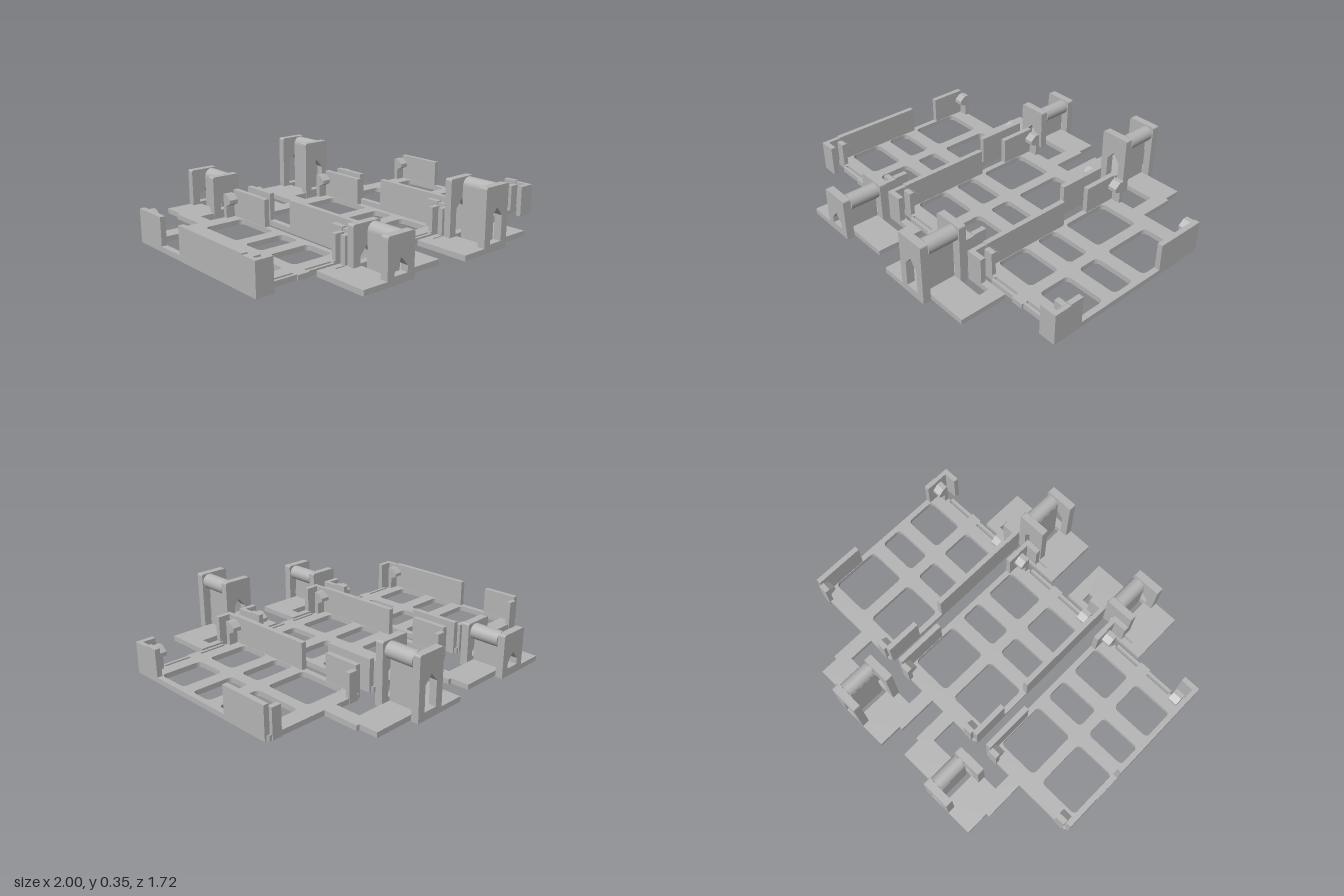
import * as THREE from 'three';

const PITCH = 0.69, HALF = 0.31, BASE = 0.03;
const grey = new THREE.MeshStandardMaterial({ color: 0xb4b4b4 });
grey.name = 'plain grey';

function add(parent, name, geometry) {
  const mesh = new THREE.Mesh(geometry, grey);
  mesh.name = name;
  parent.add(mesh);
  return mesh;
}

// Box given by its limits
function box(parent, name, x0, x1, y0, y1, z0, z1) {
  const g = new THREE.BoxGeometry(x1 - x0, y1 - y0, z1 - z0);
  g.translate((x0 + x1) / 2, (y0 + y1) / 2, (z0 + z1) / 2);
  return add(parent, name, g);
}

// Rounded rectangle in the ground plane; shape y is -z
function roundedRect(target, x0, x1, z0, z1, r) {
  const b = -z1, t = -z0;
  target.moveTo(x0 + r, b);
  target.lineTo(x1 - r, b);
  target.quadraticCurveTo(x1, b, x1, b + r);
  target.lineTo(x1, t - r);
  target.quadraticCurveTo(x1, t, x1 - r, t);
  target.lineTo(x0 + r, t);
  target.quadraticCurveTo(x0, t, x0, t - r);
  target.lineTo(x0, b + r);
  target.quadraticCurveTo(x0, b, x0 + r, b);
  return target;
}

// Flat plate of base thickness from a ground-plane shape
function plate(parent, name, shape) {
  const g = new THREE.ExtrudeGeometry(shape, { depth: BASE, bevelEnabled: false, curveSegments: 6 });
  g.rotateX(-Math.PI / 2);
  return add(parent, name, g);
}
const outline = pts => new THREE.Shape(pts.map(([x, z]) => new THREE.Vector2(x, -z)));

// Snap clip: upright with a wedge-shaped head pointing along dir in z
function clip(parent, x, z, dir) {
  const pts = [[0, 0], [0.026, 0], [0.026, 0.1], [0.065, 0.118], [0.065, 0.14], [0.03, 0.168], [0, 0.168]];
  const s = new THREE.Shape(pts.map(([u, y]) => new THREE.Vector2(u, y)));
  const g = new THREE.ExtrudeGeometry(s, { depth: 0.055, bevelEnabled: false });
  g.translate(0, 0, -0.0275);
  g.rotateY(dir > 0 ? -Math.PI / 2 : Math.PI / 2);
  g.translate(x, 0, z);
  add(parent, 'snapClip', g);
}

function tray(cx) {
  const t = new THREE.Group();
  t.name = 'tray';
  t.position.x = cx;

  // Floor with six windows and two slits along the front
  const floor = outline([[-HALF, 0.49], [-HALF, -0.465], [-0.29, -0.485], [0.29, -0.485], [HALF, -0.465],
    [HALF, 0.49], [0.2, 0.49], [0.2, 0.51], [0.035, 0.51], [0.035, 0.52], [-0.035, 0.52],
    [-0.035, 0.51], [-0.2, 0.51], [-0.2, 0.49]]);
  for (const [z0, z1] of [[-0.39, -0.09], [-0.01, 0.125], [0.205, 0.4]])
    for (const [x0, x1] of [[-0.277, -0.032], [0.032, 0.277]])
      floor.holes.push(roundedRect(new THREE.Path(), x0, x1, z0, z1, 0.03));
  for (const [x0, x1] of [[-0.2, -0.035], [0.035, 0.2]])
    floor.holes.push(roundedRect(new THREE.Path(), x0, x1, 0.478, 0.493, 0.002));
  plate(t, 'trayFloor', floor);

  // Side walls: long on one side, short corner walls on the other
  const W = 0.03;
  box(t, 'longSideWall', -HALF, -HALF + W, 0, 0.187, -0.08, 0.47);
  box(t, 'rearSideWall', -HALF, -HALF + W, 0, 0.187, -0.475, -0.26);
  box(t, 'frontSideWall', HALF - W, HALF, 0, 0.187, 0.39, 0.47);
  box(t, 'rearSideWall', HALF - W, HALF, 0, 0.187, -0.475, -0.175);

  // L-shaped front corners and the clips
  for (const s of [-1, 1]) {
    const edge = s * HALF, inner = s * (HALF - 0.025), tip = s * (HALF - 0.1);
    box(t, 'cornerReturn', Math.min(edge, inner), Math.max(edge, inner), 0, 0.18, 0.47, 0.57);
    box(t, 'cornerLip', Math.min(edge, tip), Math.max(edge, tip), 0, 0.18, 0.54, 0.57);
    clip(t, s * 0.248, -0.49, 1);
    clip(t, s * 0.248, 0.49, -1);
  }
  return t;
}

// Upright bracket with a pointed window, standing between z0 and z1
function bracket(parent, h, z0, z1) {
  const x0 = -0.13, x1 = 0.045, r = 0.012;
  const s = new THREE.Shape();
  s.moveTo(x0, 0);
  s.lineTo(x1, 0);
  s.lineTo(x1, h - r);
  s.quadraticCurveTo(x1, h, x1 - r, h);
  s.lineTo(x0 + r, h);
  s.quadraticCurveTo(x0, h, x0, h - r);
  const shoulder = h - 0.165, peak = h - 0.115;
  s.holes.push(new THREE.Path([[-0.085, 0.045], [0, 0.045], [0, shoulder], [-0.042, peak], [-0.085, shoulder]]
    .map(p => new THREE.Vector2(...p))));
  const g = new THREE.ExtrudeGeometry(s, { depth: z1 - z0, bevelEnabled: false, curveSegments: 4 });
  g.translate(0, 0, z0);
  add(parent, 'hingeBracket', g);
}

// Coupling between neighbouring trays, local x = 0 on the roller axis
function coupling(x, h, front) {
  const c = new THREE.Group();
  c.name = front ? 'frontCoupling' : 'rearCoupling';
  c.position.x = x;
  const z0 = front ? 0.63 : -0.81, z1 = front ? 0.805 : -0.64;

  // Base plates
  if (front) {
    const left = roundedRect(new THREE.Shape(), -0.28, -0.075, 0.53, 0.857, 0.006);
    left.holes.push(roundedRect(new THREE.Path(), -0.195, -0.13, 0.566, 0.576, 0.002));
    plate(c, 'couplingPlate', left);
    plate(c, 'rollerPlate', outline([[-0.045, 0.63], [0.195, 0.63], [0.195, 0.57], [0.125, 0.57],
      [0.125, 0.53], [0.275, 0.53], [0.275, 0.805], [-0.045, 0.805]]));
  } else {
    plate(c, 'couplingPlate', outline([[-0.28, -0.86], [-0.075, -0.86], [-0.075, -0.59], [-0.22, -0.59],
      [-0.22, -0.48], [-0.3, -0.48], [-0.3, -0.72], [-0.28, -0.72]]));
    plate(c, 'rollerPlate', outline([[-0.045, -0.81], [0.275, -0.81], [0.275, -0.7], [0.295, -0.7],
      [0.295, -0.48], [0.215, -0.48], [0.215, -0.64], [-0.045, -0.64]]));
  }

  // Paired brackets
  if (front) {
    bracket(c, h, 0.583, 0.625);
    bracket(c, h, 0.812, 0.857);
  } else {
    bracket(c, h, -0.86, -0.817);
    bracket(c, h, -0.63, -0.585);
  }

  // Upright web carrying the roller, with its pin
  box(c, 'rollerWeb', -0.045, 0, 0, h - 0.045, z0, z1);
  const mid = (z0 + z1) / 2;
  for (const [name, r, len] of [['roller', 0.044, z1 - z0], ['rollerPin', 0.025, z1 - z0 + 0.03]]) {
    const g = new THREE.CylinderGeometry(r, r, len, 32);
    g.rotateX(Math.PI / 2);
    g.translate(0, h - 0.046, mid);
    add(c, name, g);
  }
  return c;
}

export function createModel() {
  const model = new THREE.Group();
  model.name = 'linkedTrays';
  for (const i of [-1, 0, 1]) model.add(tray(i * PITCH));
  for (const front of [true, false]) {
    model.add(coupling(-0.345, 0.245, front));
    model.add(coupling(0.342, 0.35, front));
  }
  return model;
}
